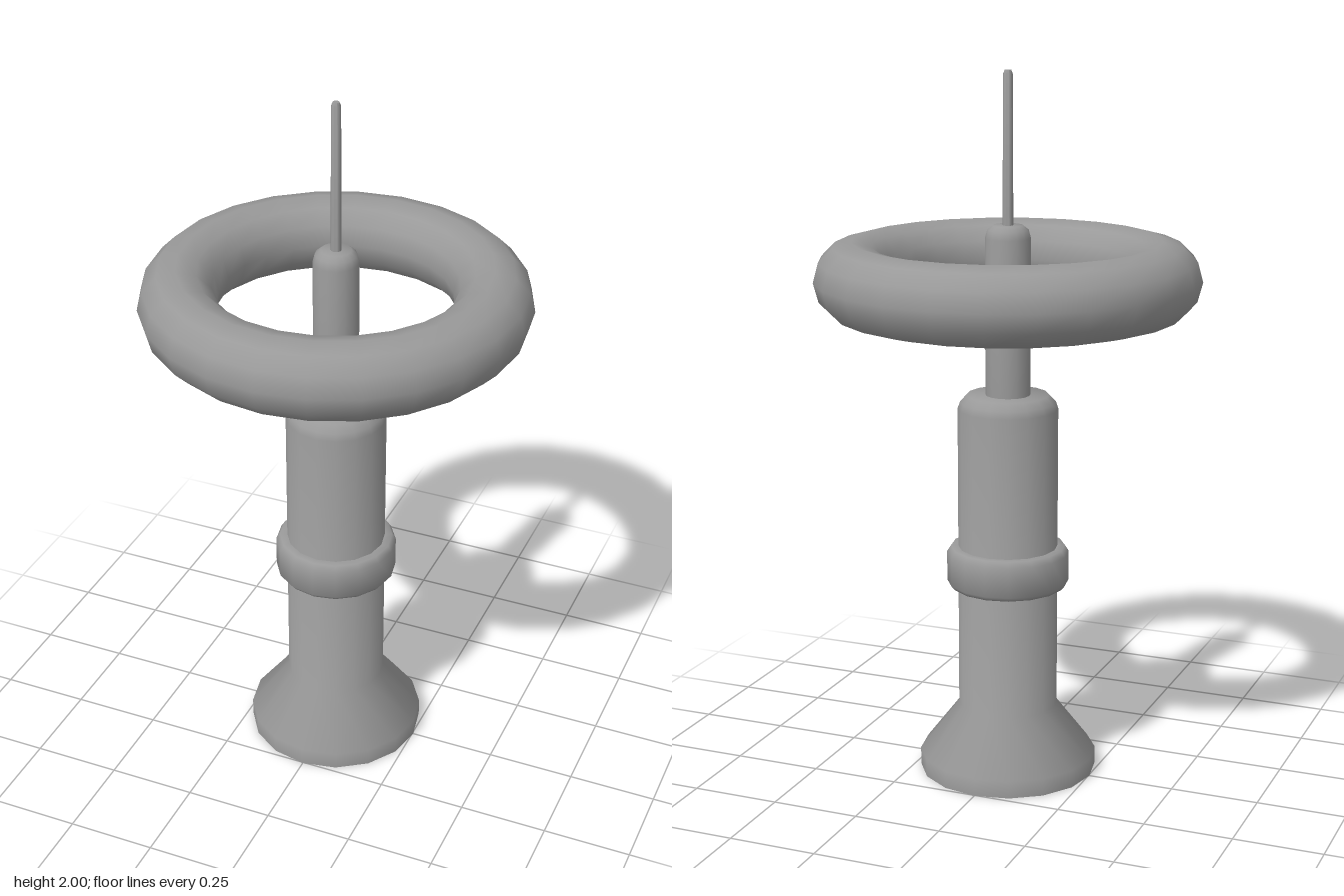
import * as THREE from 'three';
import { toCreasedNormals } from 'three/addons/utils/BufferGeometryUtils.js';

const material = new THREE.MeshStandardMaterial({ color: 0x999999, side: THREE.DoubleSide });

// Turned part from [radius, height] pairs, bottom to top
function turned(name, profile, sides) {
  const points = profile.map(([r, y]) => new THREE.Vector2(r, y));
  const geometry = toCreasedNormals(new THREE.LatheGeometry(points, sides), 1.15);
  const mesh = new THREE.Mesh(geometry, material);
  mesh.name = name;
  return mesh;
}

export function createModel() {
  const model = new THREE.Group();
  model.name = 'ringTower';

  // Flared foot, open underneath, running up into the chamfered column
  const column = turned('column', [
    [0.253, 0], [0.253, 0.05], [0.141, 0.195], [0.141, 1.065],
    [0.134, 1.085], [0.115, 1.105], [0, 1.105],
  ], 16);

  // Raised band around the column
  const collar = turned('collar', [
    [0.14, 0.55], [0.162, 0.55], [0.173, 0.563], [0.173, 0.648], [0.162, 0.665], [0.14, 0.665],
  ], 16);

  // Slim neck that rises through the ring
  const neck = turned('neck', [
    [0.063, 1.1], [0.063, 1.545], [0.057, 1.568], [0.042, 1.58], [0, 1.58],
  ], 16);

  // Thin spike on top
  const spike = turned('spike', [
    [0.015, 1.57], [0.013, 1.99], [0.009, 2], [0, 2],
  ], 10);

  // Floating ring around the neck
  const ring = new THREE.Mesh(new THREE.TorusGeometry(0.428, 0.108, 12, 24), material);
  ring.name = 'ring';
  ring.rotation.x = Math.PI / 2;
  ring.position.y = 1.432;

  model.add(column, collar, neck, spike, ring);
  return model;
}
